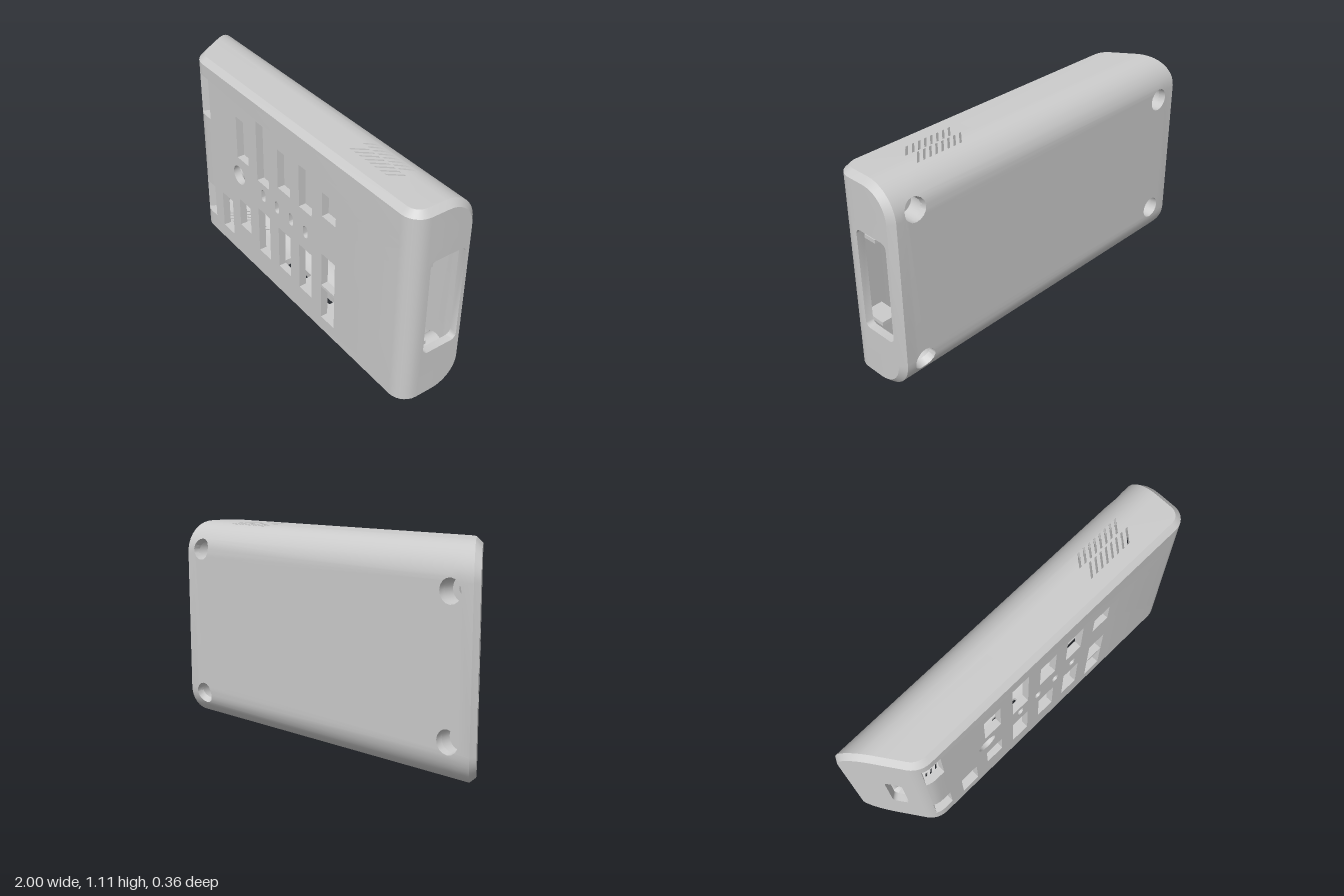
import * as THREE from 'three';
import { toCreasedNormals } from 'three/addons/utils/BufferGeometryUtils.js';

const H = 1.11, HALF = 0.18, CH = 0.03, R = 0.17, Z0 = HALF * -1 + R, WALL = 0.04;
const grey = new THREE.MeshStandardMaterial({ color: 0xcccccc });
const grey2 = new THREE.MeshStandardMaterial({ color: 0xcccccc, side: THREE.DoubleSide });

// Polyline that a flat sheet can be wrapped around; depth goes to its inner side
function makeProfile(pts) {
  const len = [0], n = [];
  for (let i = 1; i < pts.length; i++) {
    const dx = pts[i][0] - pts[i - 1][0], dy = pts[i][1] - pts[i - 1][1], l = Math.hypot(dx, dy);
    len.push(len[i - 1] + l);
    n.push([-dy / l, dx / l]);
  }
  const miter = pts.map((p, i) => {
    const a = n[Math.max(i - 1, 0)], b = n[Math.min(i, n.length - 1)];
    const k = 1 + a[0] * b[0] + a[1] * b[1];
    return [(a[0] + b[0]) / k, (a[1] + b[1]) / k];
  });
  const at = (s, d) => {
    let i = 0;
    while (i < pts.length - 2 && s > len[i + 1]) i++;
    const f = (s - len[i]) / (len[i + 1] - len[i]);
    return [0, 1].map((k) => pts[i][k] + f * (pts[i + 1][k] - pts[i][k])
      + d * (miter[i][k] + f * (miter[i + 1][k] - miter[i][k])));
  };
  const sOf = (a, b) => {
    let best = Infinity, res = 0;
    for (let i = 0; i < n.length; i++) {
      const tx = n[i][1], ty = -n[i][0], l = len[i + 1] - len[i];
      const t = Math.min(l, Math.max(0, (a - pts[i][0]) * tx + (b - pts[i][1]) * ty));
      const e = Math.hypot(pts[i][0] + tx * t - a, pts[i][1] + ty * t - b);
      if (e < best - 1e-9) { best = e; res = len[i] + t; }
    }
    return res;
  };
  return { at, sOf, len, total: len[len.length - 1] };
}

function arc(cx, cy, r, a0, a1, steps) {
  return Array.from({ length: steps + 1 }, (_, i) => {
    const a = a0 + (a1 - a0) * i / steps;
    return [cx + r * Math.cos(a), cy + r * Math.sin(a)];
  });
}

// Cut triangles along v = c so that they can be bent there
function splitAt(tris, c) {
  const out = [];
  for (const t of tris) {
    if (t.every((p) => p[1] <= c + 1e-6) || t.every((p) => p[1] >= c - 1e-6)) { out.push(t); continue; }
    for (const sign of [1, -1]) {
      const poly = [];
      t.forEach((p, i) => {
        const q = t[(i + 1) % 3], dp = (p[1] - c) * sign, dq = (q[1] - c) * sign;
        if (dp >= 0) poly.push(p);
        if (dp * dq < 0) poly.push(p.map((v, k) => v + (q[k] - v) * dp / (dp - dq)));
      });
      for (let i = 2; i < poly.length; i++) out.push([poly[0], poly[i - 1], poly[i]]);
    }
  }
  return out;
}

// Thick sheet with holes, wrapped around a profile
function bentSheet(outline, holes, profile, place) {
  const shape = new THREE.Shape(outline.map((p) => new THREE.Vector2(...p)));
  shape.holes = holes;
  const pos = new THREE.ExtrudeGeometry(shape, { depth: WALL, bevelEnabled: false, curveSegments: 8 }).attributes.position;
  let tris = [];
  for (let i = 0; i < pos.count; i += 3) {
    tris.push([0, 1, 2].map((k) => [pos.getX(i + k), pos.getY(i + k), pos.getZ(i + k)]));
  }
  for (const c of profile.len.slice(1, -1)) tris = splitAt(tris, c);
  return fromTriangles(tris.flat().map(([u, v, d]) => place(u, profile.at(v, d))));
}

function fromTriangles(points) {
  const g = new THREE.BufferGeometry();
  g.setAttribute('position', new THREE.Float32BufferAttribute(points.flat(), 3));
  return toCreasedNormals(g, 0.5);
}

// Hole outlines
const polyHole = (pts) => new THREE.Path(pts.map((p) => new THREE.Vector2(...p)));
const circleHole = (u, v, r) => new THREE.Path().absarc(u, v, r, 0, Math.PI * 2);
function roundHole(u, v, w, h, r = 0) {
  const x = w / 2, y = h / 2;
  if (!r) return polyHole([[u - x, v - y], [u + x, v - y], [u + x, v + y], [u - x, v + y]]);
  return polyHole([[1, 1, 0], [-1, 1, 1], [-1, -1, 2], [1, -1, 3]].flatMap(([i, j, q]) =>
    arc(u + i * (x - r), v + j * (y - r), r, q * Math.PI / 2, (q + 1) * Math.PI / 2 - 0.01, 5)));
}

export function createModel() {
  const group = new THREE.Group();
  const add = (name, geo, mat = grey) => {
    const m = new THREE.Mesh(geo, mat);
    m.name = name;
    group.add(m);
    return m;
  };

  // Rear profile in (y, z): bottom, rounded back, top
  const P = Math.PI, N = 10;
  const rear = makeProfile([[0, HALF], ...arc(R, Z0, R, P, 1.5 * P, N),
    ...arc(H - R, Z0, R, 1.5 * P, 2 * P, N), [H, HALF]]);
  // Front profile in (z, x): slanted left end, front, right end
  const slope = 0.68, leftX = (z) => -1 + (z + 0.15) * slope;
  const turn = Math.atan(1 / slope), r1 = 0.12, r2 = 0.09;
  const c1 = leftX(HALF) + r1 * Math.tan(turn / 2);
  const front = makeProfile([[-HALF, leftX(-HALF)], ...arc(HALF - r1, c1, r1, -turn, 0, 6),
    ...arc(HALF - r2, 1 - r2, r2, 0, P / 2, 7), [-HALF, 1]]);

  // Edge where both sheets meet, a = (x, s) on the rear, b = (y, t) on the front
  const sTop = rear.sOf(H, Z0), topS = (z) => sTop + z - Z0, lowS = (z) => rear.total - topS(z);
  const arcS = rear.len.slice(N + 2, 2 * N + 3);
  const edge = [];
  for (const s of arcS) {
    const [y, z] = rear.at(s, CH);
    edge.push({ a: [1 - CH, s], b: [y, front.sOf(z, 1)] });
  }
  for (const t of front.len.slice(1, -1).reverse()) {
    const [z, x] = front.at(t, CH);
    edge.push({ a: [x, topS(z)], b: [H - CH, t] });
  }
  for (const s of [...arcS].reverse()) {
    const [y, z] = rear.at(s, CH);
    edge.push({ a: [leftX(rear.at(s, 0)[1]) + CH * Math.hypot(1, slope), s], b: [y, front.sOf(z, leftX(z))] });
  }
  const loop = [...edge, ...[...edge].reverse().map(({ a, b }) =>
    ({ a: [a[0], rear.total - a[1]], b: [H - b[0], b[1]] }))];

  const placeRear = (x, [y, z]) => [x, y, z];
  const placeFront = (y, [z, x]) => [x, y, z];

  // Rear shell: vents, ports and screw holes
  const rearHoles = [];
  for (const [x0, sAt] of [[0.42, topS], [-0.78, lowS]]) {
    for (const z of [0.012, -0.063]) {
      for (let i = 0; i < 8; i++) {
        const x = x0 + i * 0.036, w = 0.014;
        rearHoles.push(polyHole([[x, sAt(z + 0.065)], [x + w, sAt(z + 0.065)],
          [x + w + 0.055, sAt(z)], [x + 0.055, sAt(z)]]));
      }
    }
  }
  for (const [x, z, w, h] of [[0.5, 0.02, 0.16, 0.1], [0.2, 0.02, 0.1, 0.05], [-0.09, 0.02, 0.19, 0.075]]) {
    rearHoles.push(roundHole(x, lowS(z), w, h, 0.012));
  }
  const screws = [[0.86, 0.41], [0.86, -0.41], [-0.86, 0.34], [-0.86, -0.34]];
  for (const [x, dy] of screws) rearHoles.push(circleHole(x, rear.total / 2 + dy, 0.06));
  add('rearShell', bentSheet(loop.map((e) => e.a), rearHoles, rear, placeRear));

  // Front shell: component windows, knob hole, indicator slots, end openings
  const tF = (x) => front.sOf(HALF, x);
  const windows = [[-0.715, 0.77, 1.01], [-0.715, 0.13, 0.33], [-0.525, 0.115, 0.34], [-0.34, 0.67, 0.915],
    [-0.34, 0.23, 0.4], [-0.15, 0.63, 0.98], [-0.15, 0.175, 0.45], [0.04, 0.69, 0.915], [0.04, 0.19, 0.44],
    [0.225, 0.685, 0.925], [0.225, 0.175, 0.45], [0.415, 0.74, 0.875], [0.415, 0.32, 0.515], [0.415, 0.11, 0.305]];
  const frontHoles = windows.map(([x, y0, y1]) => roundHole((y0 + y1) / 2, tF(x), y1 - y0, 0.108));
  frontHoles.push(circleHole(0.56, tF(-0.385), 0.055));
  for (const x of [-0.15, -0.025, 0.1, 0.225]) frontHoles.push(roundHole(0.56, tF(x), 0.07, 0.037, 0.018));
  frontHoles.push(roundHole(0.53, front.sOf(0.04, leftX(0.04)), 0.365, 0.085, 0.025));
  frontHoles.push(roundHole(0.56, front.sOf(-0.03, 1), 0.54, 0.2, 0.03));
  add('frontShell', bentSheet(loop.map((e) => e.b), frontHoles, front, placeFront));

  // Bevel joining the two shells
  const band = [];
  loop.forEach((e, i) => {
    const f = loop[(i + 1) % loop.length];
    const [a0, a1] = [e, f].map(({ a }) => placeRear(a[0], rear.at(a[1], 0)));
    const [b0, b1] = [e, f].map(({ b }) => placeFront(b[0], front.at(b[1], 0)));
    band.push(a0, a1, b1, a0, b1, b0);
  });
  add('edgeBevel', fromTriangles(band), grey2);

  // Screw wells with a pierced floor
  for (const [x, dy] of screws) {
    const well = add('screwWell', new THREE.CylinderGeometry(0.06, 0.06, 0.1, 24, 1, true).rotateX(P / 2), grey2);
    well.position.set(x, H / 2 + dy, -0.1);
    const floor = add('screwWellFloor', new THREE.RingGeometry(0.026, 0.06, 24), grey2);
    floor.position.set(x, H / 2 + dy, -0.08);
  }

  // Small ribs inside the end opening
  for (const y of [0.3, 0.76]) {
    add('innerRib', new THREE.BoxGeometry(0.1, 0.02, 0.13)).position.set(0.9, y, 0.075);
  }
  return group;
}
